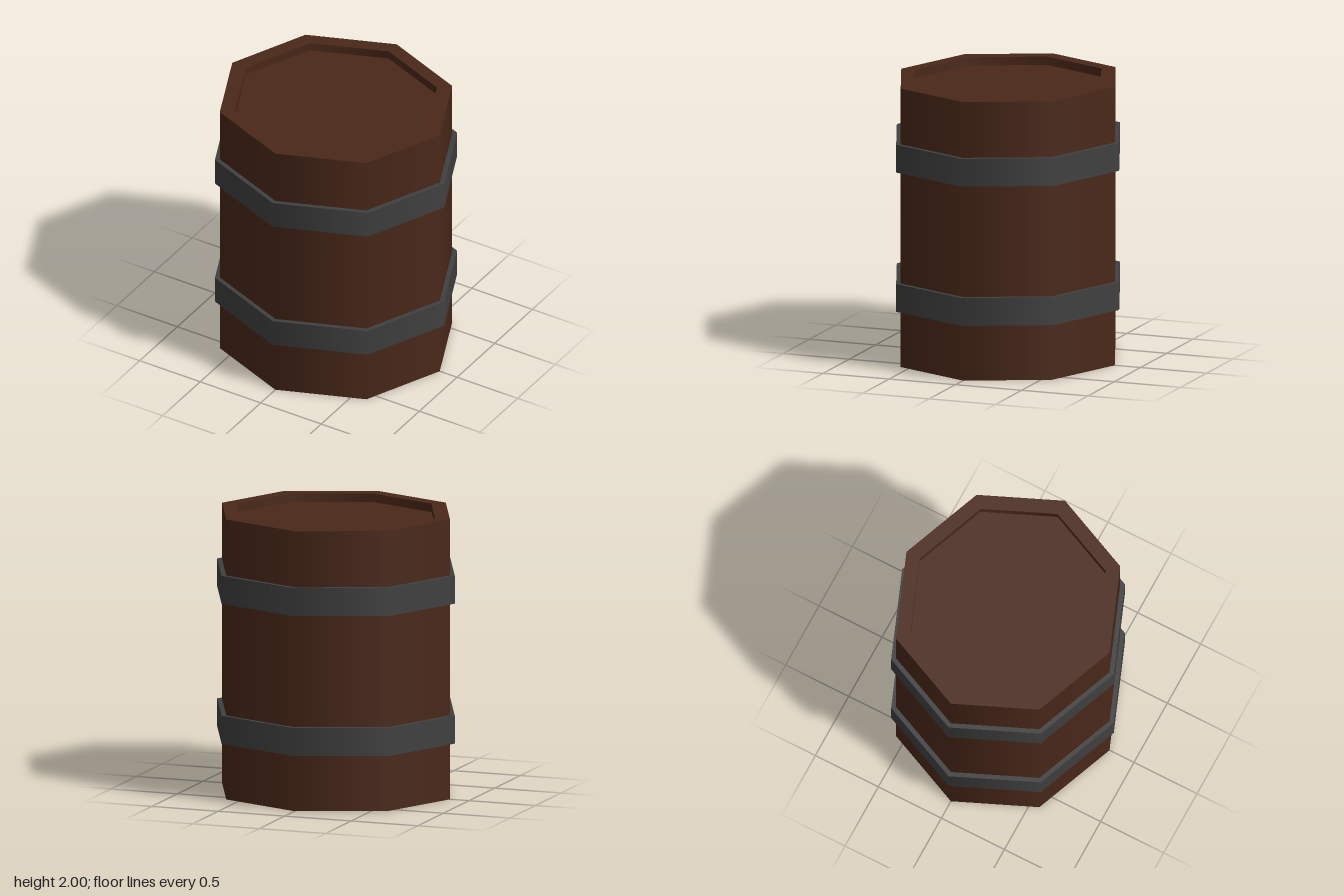
import * as THREE from 'three';
import { mergeGeometries } from 'three/addons/utils/BufferGeometryUtils.js';

const SIDES = 8;
const DEPTH = 0.94; // the barrel is slightly narrower front to back

// Sweep each profile segment separately: smooth around, crisp between segments
function turned(profile) {
  const strips = [];
  for (let i = 0; i < profile.length - 1; i++) {
    const pair = [profile[i], profile[i + 1]].map(([r, y]) => new THREE.Vector2(r, y));
    strips.push(new THREE.LatheGeometry(pair, SIDES));
  }
  return mergeGeometries(strips).scale(1, 1, DEPTH);
}

function part(name, profile, material) {
  const mesh = new THREE.Mesh(turned(profile), material);
  mesh.name = name;
  return mesh;
}

export function createModel() {
  const group = new THREE.Group();
  group.name = 'barrel';
  const wood = new THREE.MeshStandardMaterial({ color: 0x4a2819 });
  const iron = new THREE.MeshStandardMaterial({ color: 0x404040 });

  // Wooden body: base, wall, rim and recessed lid
  group.add(part('body', [
    [0, 0], [0.857, 0], [0.857, 2], [0.745, 2], [0.745, 1.94], [0, 1.94],
  ], wood));

  // Two iron hoops
  [['lowerHoop', 0.4], ['upperHoop', 1.4]].forEach(([name, y]) => {
    group.add(part(name, [
      [0.85, y], [0.893, y], [0.893, y + 0.2], [0.85, y + 0.2],
    ], iron));
  });

  return group;
}
